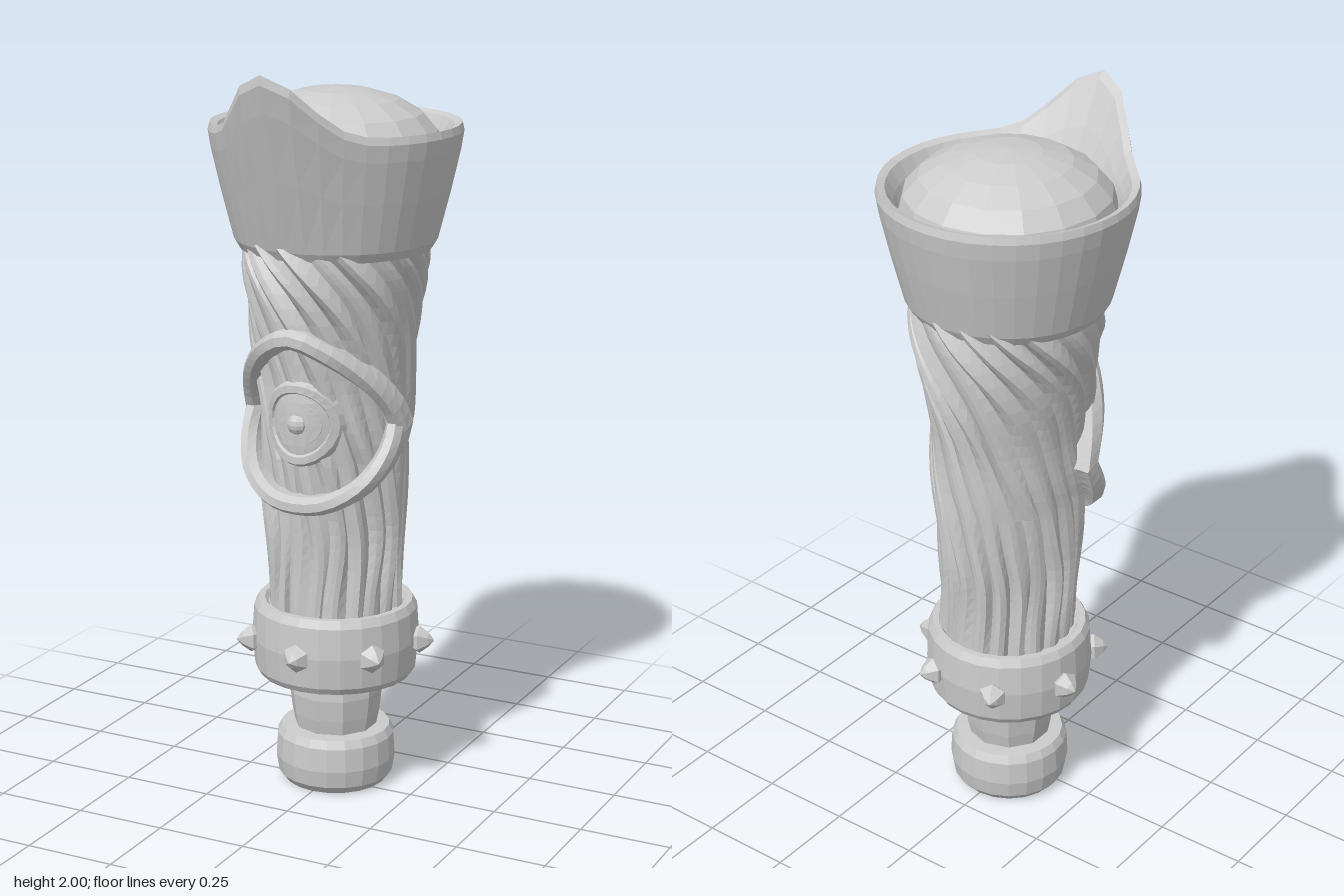
import * as THREE from 'three';

const CZ = -0.04; // z of the main axis
const material = new THREE.MeshStandardMaterial({ color: 0xcccccc, flatShading: true, side: THREE.DoubleSide });
const V = (x, y, z) => new THREE.Vector3(x, y, z);

function addMesh(parent, name, geometry) {
  const mesh = new THREE.Mesh(geometry, material);
  mesh.name = name;
  parent.add(mesh);
  return mesh;
}

// Skin a list of closed rings that all have the same number of points
function loft(rings) {
  const n = rings[0].length, index = [];
  for (let i = 0; i < rings.length - 1; i++) {
    for (let j = 0; j < n; j++) {
      const k = (j + 1) % n;
      const a = i * n + j, b = i * n + k, c = a + n, d = b + n;
      index.push(a, b, d, a, d, c);
    }
  }
  const g = new THREE.BufferGeometry().setFromPoints(rings.flat());
  g.setIndex(index);
  g.computeVertexNormals();
  return g;
}

function lathe(parent, name, profile, sides) {
  const mesh = addMesh(parent, name, new THREE.LatheGeometry(profile.map(([r, y]) => new THREE.Vector2(r, y)), sides));
  mesh.position.z = CZ;
  return mesh;
}

function seeded(seed) {
  return () => (seed = (seed * 16807) % 2147483647) / 2147483647;
}

// Twisted bark: each ridge follows its own column of the mesh
function barkGeometry() {
  const rand = seeded(77);
  const radii = new THREE.SplineCurve([[0.172, 0.5], [0.172, 0.65], [0.178, 0.8], [0.19, 1.0], [0.196, 1.15],
    [0.217, 1.3], [0.236, 1.45], [0.236, 1.54]].map(([r, y]) => new THREE.Vector2(r, y)));
  const ridges = 20, section = [-1, 0.35, 1, 0.55], columns = [];
  for (let k = 0; k < ridges; k++) {
    const height = 0.006 + 0.009 * rand(), shift = rand() * 0.12, phase = rand() * 6.28;
    section.forEach((s, i) => columns.push({
      angle: (k + shift + i / section.length) / ridges * Math.PI * 2, bump: s * height, phase,
    }));
  }
  const rings = [], rows = 28;
  for (let i = 0; i <= rows; i++) {
    const p = radii.getPoint(i / rows), y = p.y;
    const t = Math.max(0, (y - 0.93) / 0.6);
    const twist = -1.5 * t ** 1.25 + 0.1 * Math.sin((y - 0.5) * 9) * Math.min(1, (y - 0.5) * 4);
    rings.push(columns.map((c) => {
      const a = c.angle + twist + 0.03 * Math.sin(y * 11 + c.phase);
      const r = p.x + c.bump * (0.8 + 0.5 * Math.sin(y * 9 + c.phase));
      return V(r * Math.sin(a), y, CZ + r * 1.1 * Math.cos(a));
    }));
  }
  return loft(rings);
}

// Cup with a raised pouring lip at the front; k is the share of the lip in each ring
function cupGeometry() {
  const profile = [
    [0.2, 1.52, 0], [0.255, 1.505, 0], [0.27, 1.53, 0], [0.303, 1.66, 0.4], [0.328, 1.77, 0.8],
    [0.335, 1.815, 0.97], [0.33, 1.835, 1], [0.31, 1.828, 0.95], [0.288, 1.79, 0.5], [0.272, 1.75, 0],
  ];
  const sides = 36;
  return loft(profile.map(([r, y, k]) => Array.from({ length: sides }, (_, j) => {
    const a = j / sides * Math.PI * 2;
    const off = Math.min(a, Math.PI * 2 - a) / 0.37;
    const lip = k * Math.exp(-off * off);
    const R = r + 0.085 * lip;
    return V(R * Math.sin(a), y + 0.165 * lip, CZ + R * Math.cos(a));
  })));
}

// Eyelid: a bevelled bar swept along a mirrored curve, closed at both ends
function lidGeometry(half, width, depth) {
  const left = half.map(([x, y, z]) => V(x, y, z));
  const right = half.slice(0, -1).reverse().map(([x, y, z]) => V(-x, y, z));
  const curve = new THREE.CatmullRomCurve3([...left, ...right]);
  const section = [[1, -1], [1, 0.3], [0.45, 1], [-0.45, 1], [-1, 0.3], [-1, -1]];
  const steps = 24, rings = [];
  for (let i = 0; i <= steps; i++) {
    const p = curve.getPointAt(i / steps), t = curve.getTangentAt(i / steps);
    const n = V(p.x, p.y - 1.06, 0).normalize();
    n.addScaledVector(t, -n.dot(t)).normalize();
    const b = t.clone().cross(n);
    const front = Math.sign(b.z) || 1;
    const ring = section.map(([u, v]) => p.clone().addScaledVector(n, u * width).addScaledVector(b, v * depth * front));
    if (front < 0) ring.reverse();
    if (i === 0) rings.push(ring.map(() => p.clone()));
    rings.push(ring);
    if (i === steps) rings.push(ring.map(() => p.clone()));
  }
  return loft(rings);
}

// Wrap a flat part of the eye back around the trunk
function bend(g) {
  const pos = g.attributes.position;
  for (let i = 0; i < pos.count; i++) pos.setZ(i, pos.getZ(i) - 4.5 * pos.getX(i) ** 2);
  g.computeVertexNormals();
  return g;
}

export function createModel() {
  const model = new THREE.Group();
  model.name = 'carvedHandle';

  // Pommel with a hole underneath, and the neck above it
  lathe(model, 'pommel', [[0, 0.05], [0.06, 0.045], [0.075, 0.005], [0.085, 0], [0.14, 0], [0.158, 0.022], [0.166, 0.07],
    [0.162, 0.135], [0.15, 0.157], [0.09, 0.16]], 20);
  lathe(model, 'neck', [[0.112, 0.15], [0.122, 0.2], [0.129, 0.26], [0.122, 0.34]], 10);

  // Collar ringed by seven spikes
  lathe(model, 'collar', [[0.11, 0.345], [0.185, 0.33], [0.195, 0.313], [0.21, 0.316], [0.222, 0.335], [0.23, 0.42],
    [0.224, 0.505], [0.212, 0.527], [0.195, 0.527], [0.185, 0.515], [0.15, 0.51]], 24);
  const spikes = new THREE.Group();
  spikes.name = 'collarSpikes';
  spikes.position.set(0, 0.42, CZ);
  model.add(spikes);
  for (let k = 0; k < 7; k++) {
    const g = new THREE.LatheGeometry([[0.026, 0.21], [0.04, 0.236], [0.02, 0.262], [0, 0.277]]
      .map(([r, y]) => new THREE.Vector2(r, y)), 6);
    g.rotateX(Math.PI / 2).rotateY(k / 7 * Math.PI * 2);
    addMesh(spikes, 'spike', g);
  }

  // Bark trunk
  addMesh(model, 'barkTrunk', barkGeometry());

  // Eye: two lids and a ringed iris
  const eye = new THREE.Group();
  eye.name = 'eye';
  model.add(eye);
  addMesh(eye, 'upperLid', lidGeometry([[-0.215, 1.045, 0.01], [-0.205, 1.11, 0.045], [-0.165, 1.19, 0.11],
    [-0.075, 1.272, 0.19], [0, 1.302, 0.212]], 0.027, 0.03));
  addMesh(eye, 'lowerLid', lidGeometry([[-0.21, 1.07, 0.015], [-0.205, 0.99, 0.06], [-0.16, 0.905, 0.125],
    [-0.08, 0.857, 0.17], [0, 0.846, 0.18]], 0.025, 0.03));
  const iris = new THREE.Group();
  iris.name = 'iris';
  iris.position.set(0, 1.068, 0.18);
  eye.add(iris);
  addMesh(iris, 'irisDisc', bend(new THREE.SphereGeometry(0.1, 20, 10).scale(1, 1, 0.14)));
  addMesh(iris, 'outerRing', bend(new THREE.TorusGeometry(0.097, 0.019, 6, 24)));
  addMesh(iris, 'innerRing', bend(new THREE.TorusGeometry(0.06, 0.013, 6, 20).scale(1, 0.85, 1)));
  addMesh(iris, 'pupil', new THREE.SphereGeometry(0.03, 10, 8).scale(1, 1, 0.9));

  // Cup and the dome resting in it
  addMesh(model, 'cup', cupGeometry());
  const dome = addMesh(model, 'dome',
    new THREE.SphereGeometry(0.282, 16, 5, 0, Math.PI * 2, 0, Math.PI / 2).scale(1, 0.165 / 0.282, 1));
  dome.position.set(0, 1.76, CZ);

  return model;
}
